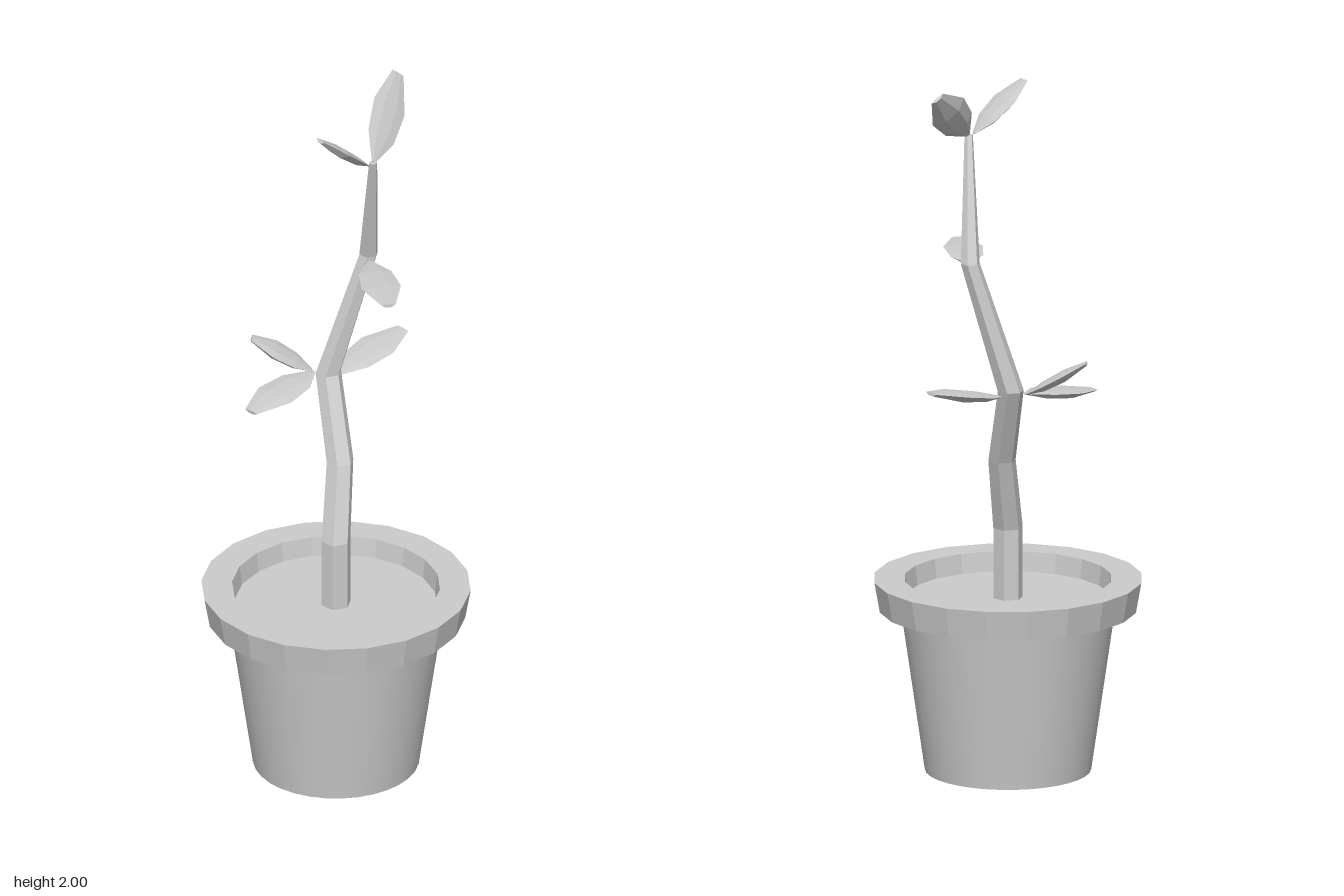
import * as THREE from 'three';

const V = (x, y, z) => new THREE.Vector3(x, y, z);
const POT_X = -0.008;
const smooth = new THREE.MeshStandardMaterial({ color: 0xcccccc });
const faceted = new THREE.MeshStandardMaterial({ color: 0xcccccc, flatShading: true });

function part(name, geometry, material) {
  const mesh = new THREE.Mesh(geometry, material);
  mesh.name = name;
  return mesh;
}

// Skins a list of equal-sized rings and caps both ends
function loft(rings) {
  const n = rings[0].length, index = [];
  for (let i = 0; i < rings.length - 1; i++) {
    for (let j = 0; j < n; j++) {
      const a = i * n + j, b = i * n + (j + 1) % n;
      index.push(a, b, b + n, a, b + n, a + n);
    }
  }
  const last = (rings.length - 1) * n;
  for (let j = 1; j < n - 1; j++) {
    index.push(0, j + 1, j, last, last + j, last + j + 1);
  }
  const g = new THREE.BufferGeometry().setFromPoints(rings.flat());
  g.setIndex(index);
  g.computeVertexNormals();
  return g;
}

// Bent, tapering six-sided stem: centre x, y, z and radius
function stemGeometry() {
  const path = [
    [POT_X, 0.47, 0, 0.042],
    [POT_X, 0.69, 0, 0.042],
    [0.053, 0.9, -0.038, 0.039],
    [0.108, 1.125, -0.128, 0.037],
    [0.19, 1.49, -0.052, 0.027],
    [0.12, 1.83, 0.025, 0.012],
  ];
  return loft(path.map(([x, y, z, r]) => Array.from({ length: 6 }, (_, k) => {
    const a = (k / 6) * Math.PI * 2;
    return V(x + r * Math.sin(a), y, z + r * Math.cos(a));
  })));
}

// Thin, blunt-tipped leaf with a lens-shaped section
function leafGeometry(base, tip, width, sideHint) {
  const axis = tip.clone().sub(base).normalize();
  const side = sideHint ? sideHint.clone() : V(0, 1, 0).cross(axis);
  side.addScaledVector(axis, -side.dot(axis)).normalize();
  const up = axis.clone().cross(side);
  const stations = [[0, 0.12], [0.28, 0.84], [0.62, 1], [1, 0.36]];
  const section = [[1, 0.004], [0.4, 0.009], [-0.4, 0.009], [-1, 0.004], [-0.4, -0.016], [0.4, -0.016]];
  return loft(stations.map(([t, s]) => section.map(([u, v]) =>
    base.clone().lerp(tip, t)
      .addScaledVector(side, u * s * width / 2)
      .addScaledVector(up, v * s))));
}

export function createModel() {
  const group = new THREE.Group();

  // Pot: smooth tapered body, faceted rim and soil
  const pot = new THREE.Group();
  pot.name = 'pot';
  pot.position.x = POT_X;
  const body = part('potBody', new THREE.CylinderGeometry(0.298, 0.23, 0.47, 32, 1, true), smooth);
  body.position.y = 0.235;
  const base = part('potBase', new THREE.CircleGeometry(0.23, 32), smooth);
  base.rotation.x = Math.PI / 2;
  const rimProfile = [[0.285, 0.46], [0.358, 0.46], [0.373, 0.545], [0.288, 0.545], [0.28, 0.485]]
    .map(([x, y]) => new THREE.Vector2(x, y));
  const rim = part('potRim', new THREE.LatheGeometry(rimProfile, 20), faceted);
  const soil = part('soil', new THREE.CircleGeometry(0.283, 20), smooth);
  soil.rotation.x = -Math.PI / 2;
  soil.position.y = 0.49;
  pot.add(body, base, rim, soil);
  group.add(pot);

  group.add(part('stem', stemGeometry(), faceted));

  // Leaves: three at the lower bend, one at the upper bend, two at the tip
  const leaves = [
    ['lowerRightLeaf', V(0.09, 1.12, -0.165), V(-0.16, 1.09, -0.178), 0.125],
    ['lowerLeftLeaf', V(0.13, 1.11, -0.115), V(0.38, 1.16, -0.09), 0.125],
    ['lowerBackLeaf', V(0.09, 1.12, -0.17), V(-0.01, 1.215, -0.305), 0.105],
    ['middleLeaf', V(0.17, 1.48, -0.03), V(0.003, 1.485, 0.182), 0.11],
    ['topLeftLeaf', V(0.125, 1.83, 0.022), V(0.335, 1.99, -0.07), 0.115, V(-0.05, 0.1, -0.06)],
    ['topRightLeaf', V(0.1, 1.83, 0.025), V(-0.06, 1.96, -0.012), 0.105],
  ];
  for (const [name, from, to, width, hint] of leaves) {
    group.add(part(name, leafGeometry(from, to, width, hint), faceted));
  }
  return group;
}
